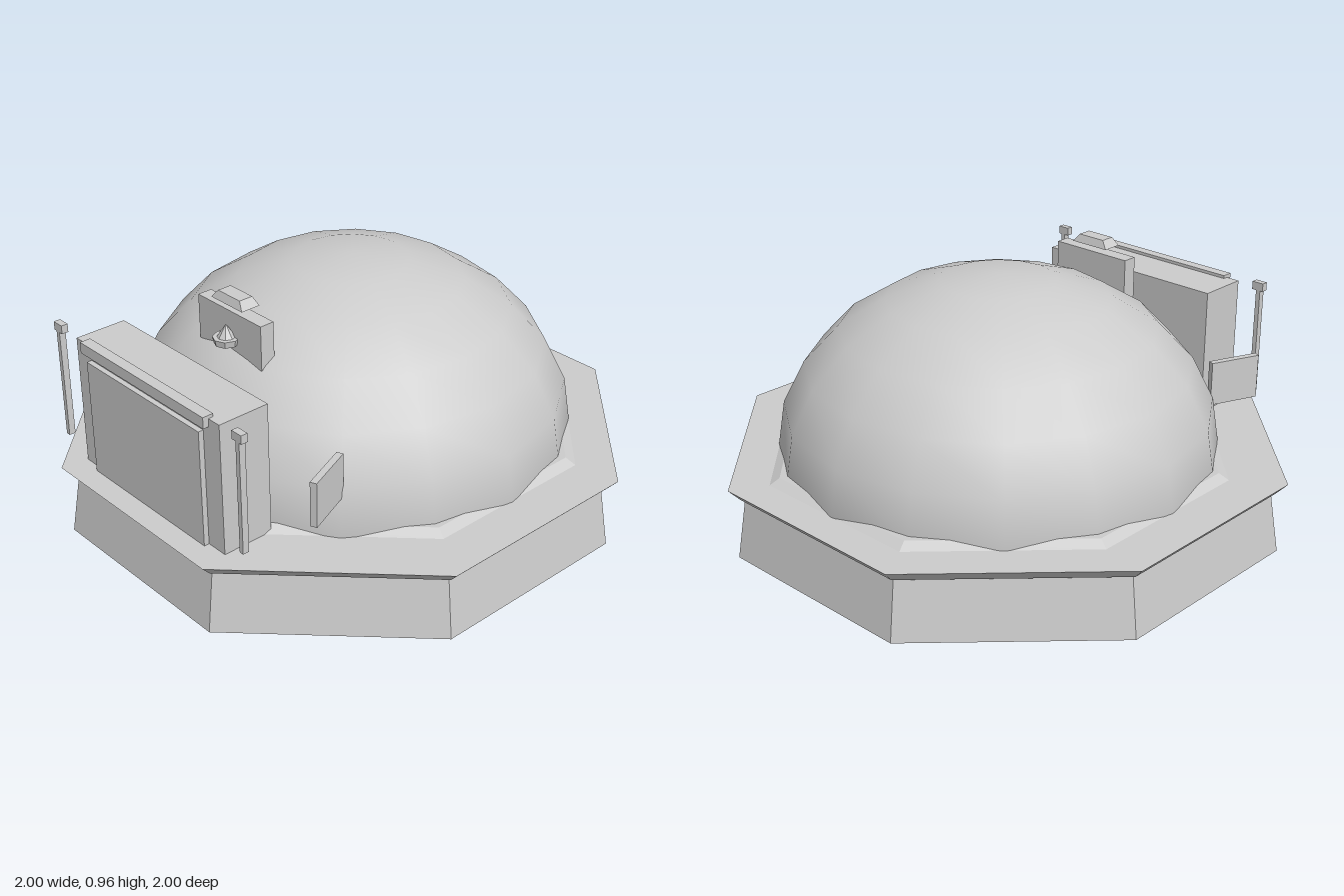
import * as THREE from 'three';

const concrete = new THREE.MeshStandardMaterial({ color: 0xcccccc, side: THREE.DoubleSide });
concrete.name = 'pale grey';

export function createModel() {
  const model = new THREE.Group();
  model.name = 'domeBuilding';

  function add(name, geometry, x = 0, y = 0, z = 0) {
    const mesh = new THREE.Mesh(geometry, concrete);
    mesh.name = name;
    mesh.position.set(x, y, z);
    model.add(mesh);
    return mesh;
  }

  // box given by its extents on each axis
  function block(name, x0, x1, y0, y1, z0, z1) {
    return add(name, new THREE.BoxGeometry(x1 - x0, y1 - y0, z1 - z0),
      (x0 + x1) / 2, (y0 + y1) / 2, (z0 + z1) / 2);
  }

  // the same box with its underside left open (faces 18-23 of the index are the bottom)
  function openBlock(...args) {
    const { geometry } = block(...args);
    const index = Array.from(geometry.index.array);
    index.splice(18, 6);
    geometry.setIndex(index);
    geometry.clearGroups();
  }

  function faceted(geometry) {
    const flat = geometry.toNonIndexed();
    flat.computeVertexNormals();
    return flat;
  }

  // flat-sided octagonal shell from [apothem, height] pairs
  function octagon(profile) {
    const points = profile.map(([a, y]) => new THREE.Vector2(a / Math.cos(Math.PI / 8), y));
    return faceted(new THREE.LatheGeometry(points, 8, Math.PI / 8));
  }

  // Hollow base wall, flared rim and deck, open underneath
  add('base', octagon([[0.98, 0], [0.945, 0.23], [0.96, 0.23], [1, 0.275], [0.76, 0.275]]));

  // Low sloping kerb around the foot of the dome
  add('kerb', octagon([[0.825, 0.275], [0.79, 0.297], [0.74, 0.297]]), 0, 0, -0.045);

  // Dome and its flat underside
  const dome = new THREE.SphereGeometry(0.833, 16, 6, 0, Math.PI * 2, 0, Math.PI / 2);
  dome.scale(1, 0.677 / 0.833, 1);
  add('dome', dome, 0, 0.273, -0.04);
  const floor = new THREE.CircleGeometry(0.833, 16);
  floor.rotateX(Math.PI / 2);
  add('domeFloor', floor, 0, 0.273, -0.04);

  // Entrance, running down below the deck
  openBlock('entrance', -0.4, 0.4, 0.12, 0.775, 0.695, 0.895);
  openBlock('door', -0.315, 0.315, 0.12, 0.72, 0.89, 0.915);
  block('lintel', -0.345, 0.345, 0.745, 0.787, 0.875, 0.917);

  for (const side of [-1, 1]) {
    // Posts beside the entrance
    add('post', new THREE.BoxGeometry(0.018, 0.43, 0.025), side * 0.503, 0.555, 0.893);
    add('postCap', new THREE.BoxGeometry(0.048, 0.032, 0.026), side * 0.5, 0.78, 0.893);
    // Fins standing out of the dome
    const fin = add('fin', new THREE.BoxGeometry(0.025, 0.17, 0.2), side * 0.595, 0.503, 0.615);
    fin.rotation.y = side * Math.PI / 8;
  }

  // Box above the entrance
  block('upperBox', -0.17, 0.17, 0.738, 0.908, 0.473, 0.53);

  // Tapered cap over the upper box
  const cap = faceted(new THREE.CylinderGeometry(0.5, 0.7071, 0.03, 4, 1, false, Math.PI / 4));
  cap.scale(0.165, 1, 0.078);
  add('cap', cap, 0, 0.948, 0.5);

  // Pointed lamp on the front of the upper box
  add('lampFoot', faceted(new THREE.CylinderGeometry(0.03, 0.012, 0.015, 8)), 0, 0.78, 0.545);
  add('lampBase', faceted(new THREE.CylinderGeometry(0.05, 0.045, 0.025, 8)), 0, 0.8, 0.545);
  add('lampPoint', faceted(new THREE.ConeGeometry(0.034, 0.05, 8)), 0, 0.836, 0.545);

  return model;
}
